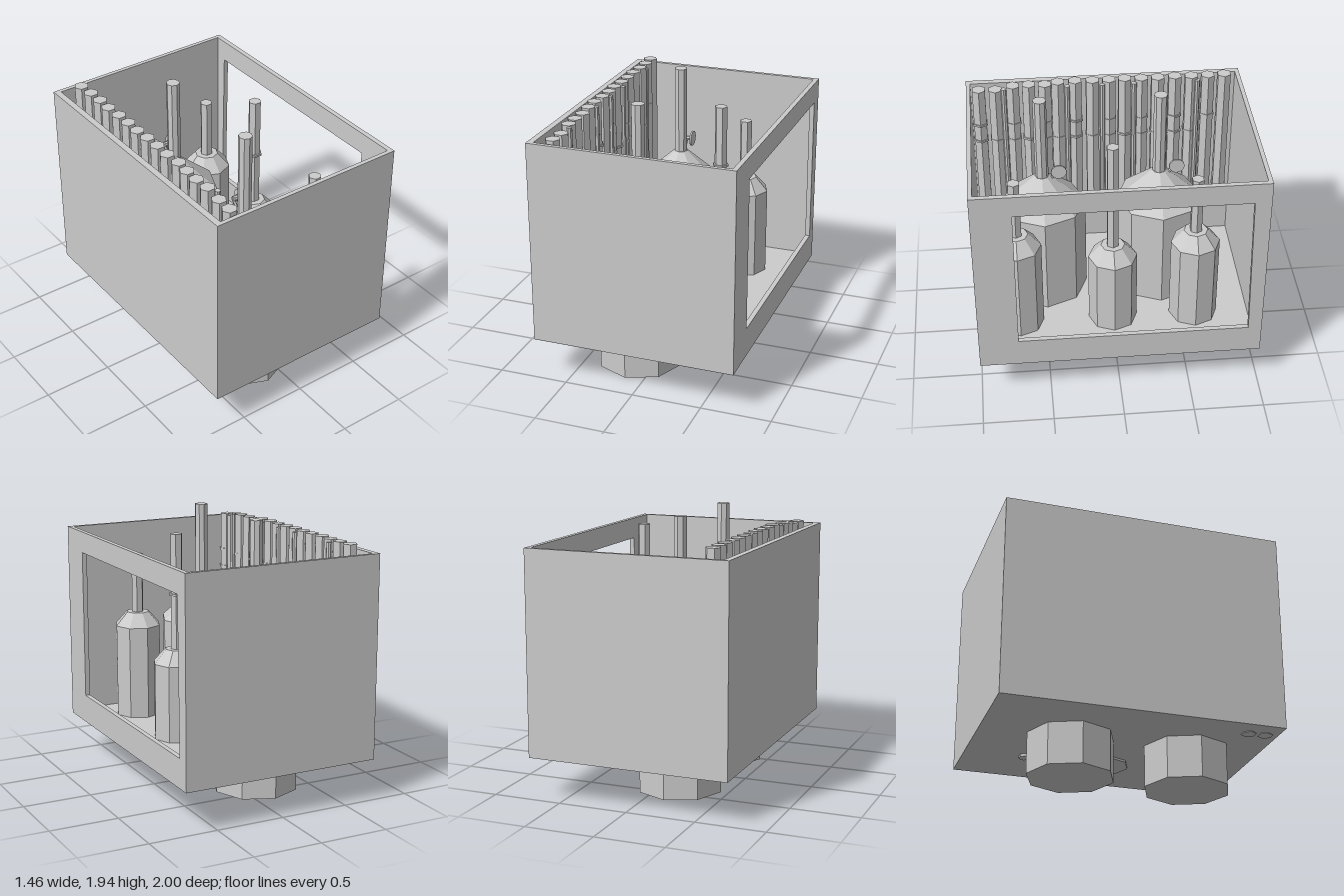
import * as THREE from 'three';

export function createModel() {
  const root = new THREE.Group();
  const mat = new THREE.MeshStandardMaterial({ color: 0xcccccc, flatShading: true });

  const add = (parent, name, geo, x = 0, y = 0, z = 0) => {
    const m = new THREE.Mesh(geo, mat);
    m.name = name;
    m.position.set(x, y, z);
    parent.add(m);
    return m;
  };
  const group = (name, x = 0, z = 0) => {
    const g = new THREE.Group();
    g.name = name;
    g.position.set(x, 0, z);
    root.add(g);
    return g;
  };
  // Upright pipe from y0 to y1, hexagonal unless told otherwise
  const pipe = (parent, name, r, y0, y1, x = 0, z = 0, sides = 6) => {
    const geo = new THREE.CylinderGeometry(r, r, y1 - y0, sides);
    if (sides === 6) geo.rotateY(Math.PI / 6);
    return add(parent, name, geo, x, (y0 + y1) / 2, z);
  };
  // Eight-sided vessel from a [radius, height] profile, bottom to top
  const vessel = (parent, name, profile) =>
    add(parent, name, new THREE.LatheGeometry(profile.map(p => new THREE.Vector2(...p)), 8));

  // Open-topped casing
  const casing = group('casing');
  const bottom = 0.3, top = 1.76, h = top - bottom, mid = (top + bottom) / 2;
  add(casing, 'floor', new THREE.BoxGeometry(1.46, 0.03, 2), 0, bottom + 0.015, 0);
  add(casing, 'plainSideWall', new THREE.BoxGeometry(0.045, h, 2), -0.7075, mid, 0);
  for (const s of [-1, 1])
    add(casing, s > 0 ? 'frontWall' : 'backWall', new THREE.BoxGeometry(1.46, h, 0.03), 0, mid, s * 0.985);

  // Side wall with the large viewing opening
  const wall = new THREE.Shape([[-1, bottom], [1, bottom], [1, top], [-1, top]].map(p => new THREE.Vector2(...p)));
  wall.holes.push(new THREE.Path(
    [[-0.72, 0.51], [-0.72, 1.605], [0.885, 1.605], [0.905, 0.51], [-0.72, 0.51]].map(p => new THREE.Vector2(...p))));
  const windowWall = add(casing, 'windowWall',
    new THREE.ExtrudeGeometry(wall, { depth: 0.035, bevelEnabled: false }), 0.695, 0, 0);
  windowWall.rotation.y = Math.PI / 2;

  // Two large tanks passing through the floor, each with a gauge
  for (const z of [-0.355, 0.49]) {
    const g = group('largeTank', -0.135, z);
    vessel(g, 'largeTankBody', [[0, 0], [0.31, 0], [0.31, 1.08], [0.05, 1.31], [0, 1.31]]);
    pipe(g, 'largeTankPipe', 0.048, 1.25, 1.94, 0, 0, 8);
    const stem = add(g, 'gaugeStem', new THREE.CylinderGeometry(0.012, 0.012, 0.15, 6), 0, 1.31, -0.09);
    stem.rotation.x = -0.65;
    const arm = add(g, 'gaugeArm', new THREE.CylinderGeometry(0.02, 0.02, 0.05, 8), 0.02, 1.365, -0.12);
    const dial = add(g, 'gaugeDial', new THREE.CylinderGeometry(0.055, 0.055, 0.012, 24), 0.048, 1.365, -0.12);
    arm.rotation.z = dial.rotation.z = Math.PI / 2;
  }

  // Three small tanks: z, base, top, pipe top
  for (const [z, base, t, pipeTop] of [[-0.57, 0.3, 1.08, 1.52], [0.02, 0.285, 0.99, 1.82], [0.7, 0.3, 1.125, 1.565]]) {
    const g = group('smallTank', 0.3, z);
    vessel(g, 'smallTankBody', [[0, base], [0.175, base], [0.175, t - 0.1], [0.085, t], [0, t]]);
    pipe(g, 'smallTankPipe', 0.045, 0.28, pipeTop);
    if (pipeTop > 1.6) pipe(g, 'pipeCollar', 0.058, 1.38, 1.395);
  }

  // Row of pipes along the plain side wall, with collars at staggered heights
  const row = group('wallPipes', -0.57);
  const zs = [-0.87, -0.75, -0.63, -0.51, -0.385, -0.265, -0.145, -0.03,
    0.09, 0.215, 0.34, 0.435, 0.55, 0.665, 0.79, 0.91];
  zs.forEach((z, i) => {
    const pipeTop = z > 0.7 ? 1.78 : z > 0.4 ? 1.805 : 1.82;
    pipe(row, 'wallPipe', 0.053, z > 0.7 ? 0.295 : 0.68, pipeTop, i % 3 ? 0.003 : -0.003, z);
    pipe(row, 'wallPipeCollar', 0.06, i < 2 ? 0.835 : 1.355, i < 2 ? 0.85 : 1.37, 0, z);
    if (i % 2) pipe(row, 'wallPipeCollar', 0.06, 1.49, 1.505, 0, z);
  });

  // Thin pipes in front of the row
  for (const z of [-0.67, -0.21, 0.02, 0.275, 0.73])
    pipe(row, 'thinPipe', 0.02, 0.68, 1.8, 0.038, z, 8);

  return root;
}
